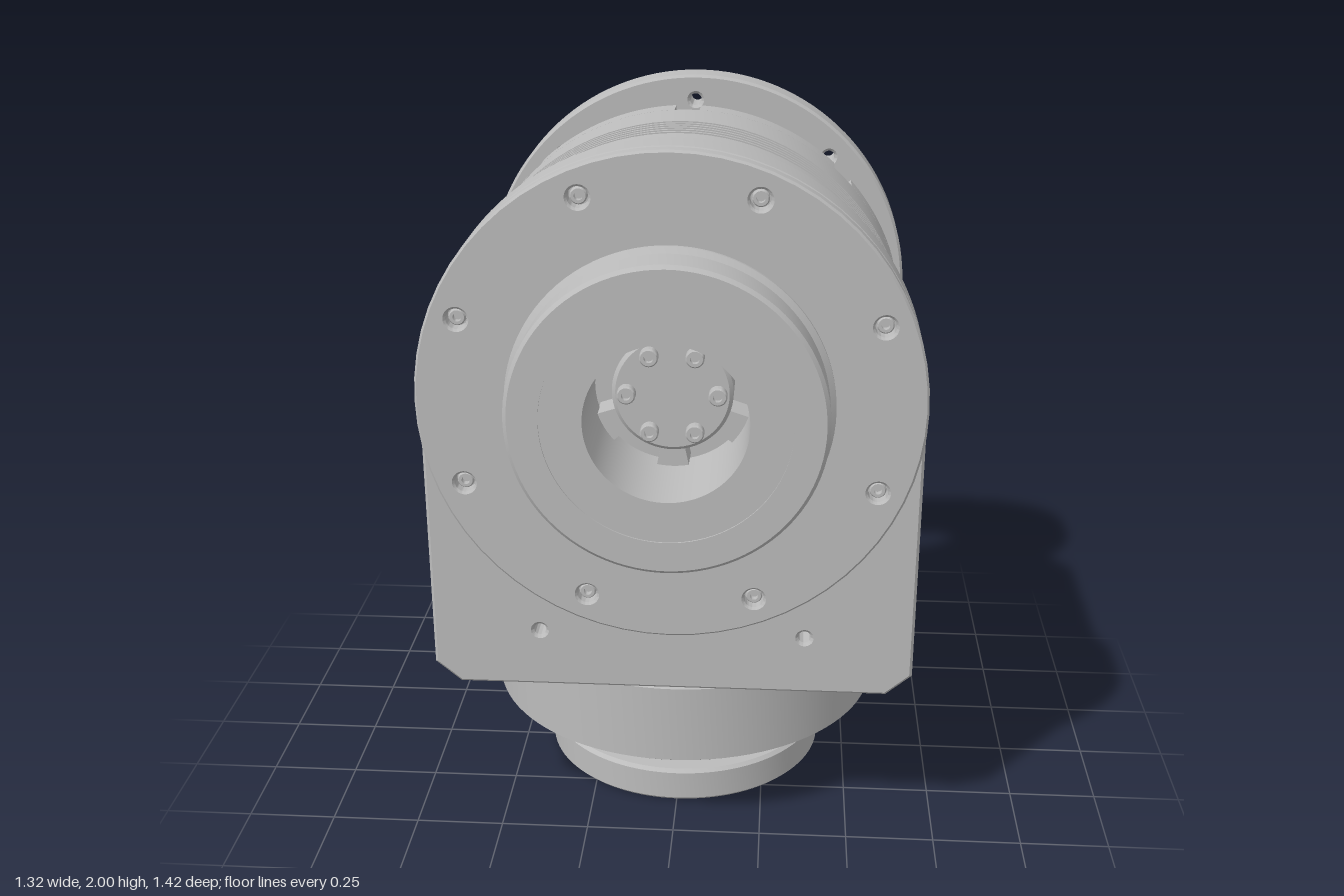
import * as THREE from 'three';
import { toCreasedNormals } from 'three/addons/utils/BufferGeometryUtils.js';

const AXIS_Y = 1.34;   // height of the tilt axis
const PAN_Z = -0.07;   // depth of the pan axis
const TAU = Math.PI * 2;

export function createModel() {
  const model = new THREE.Group();
  const metal = new THREE.MeshStandardMaterial({ color: 0xbcbcbc });
  metal.name = 'grey metal';

  const add = (name, geo, x = 0, y = 0, z = 0) => {
    const mesh = new THREE.Mesh(geo, metal);
    mesh.name = name;
    mesh.position.set(x, y, z);
    model.add(mesh);
    return mesh;
  };
  // Turned part about y, or about z when alongZ
  const turned = (pts, alongZ, segs = 96) => {
    const g = new THREE.LatheGeometry(pts.map(p => new THREE.Vector2(...p)), segs);
    if (alongZ) g.rotateX(Math.PI / 2);
    return toCreasedNormals(g, 0.5);
  };
  const hole = (shape, x, y, r) => {
    const p = new THREE.Path();
    p.absarc(x, y, r, 0, TAU, true);
    shape.holes.push(p);
  };
  const disc = r => new THREE.Shape().absarc(0, 0, r, 0, TAU, false);
  // Plate between two depths, with an optional small edge bevel
  const plate = (shape, a, b, bevel = 0) => {
    const g = new THREE.ExtrudeGeometry(shape, {
      depth: b - a - 2 * bevel, curveSegments: 32, bevelEnabled: bevel > 0,
      bevelThickness: bevel, bevelSize: bevel, bevelOffset: -bevel, bevelSegments: 1,
    });
    return toCreasedNormals(g.translate(0, 0, a + bevel), 0.5);
  };
  const around = (n, r, start, fn) => {
    for (let i = 0; i < n; i++) {
      const a = start + (i * TAU) / n;
      fn(r * Math.cos(a), r * Math.sin(a), a);
    }
  };
  // Socket-head screw, head facing +z from its seat
  const screw = (r, h) => turned([[r, 0], [r, h * 0.85], [r * 0.85, h], [r * 0.5, h], [r * 0.5, h * 0.4], [0, h * 0.4]], true, 18);
  const sector = (r0, r1, a0, a1) => {
    const s = new THREE.Shape();
    s.absarc(0, 0, r1, a0, a1, false);
    s.absarc(0, 0, r0, a1, a0, true);
    s.closePath();
    return s;
  };

  // ---- Yoke: two round-topped arms ----
  const armShape = bore => {
    const s = new THREE.Shape();
    s.moveTo(-0.59, 0.49);
    s.lineTo(0.59, 0.49);
    s.lineTo(0.66, 0.55);
    s.lineTo(0.66, AXIS_Y);
    s.absarc(0, AXIS_Y, 0.66, 0, Math.PI, false);
    s.lineTo(-0.66, 0.55);
    s.closePath();
    hole(s, 0, AXIS_Y, bore);
    for (const x of [-0.363, 0.363]) hole(s, x, 0.66, 0.017);
    return s;
  };
  add('frontArm', plate(armShape(0.36), 0.41, 0.53, 0.008));
  const back = armShape(0.29);
  around(8, 0.585, 0, (x, y) => hole(back, x, AXIS_Y + y, 0.018));
  add('backArm', plate(back, -0.675, -0.56, 0.008));

  // Yoke base: chamfered underside, floor and raised side rims
  const floorShape = () => {
    const s = new THREE.Shape();
    s.moveTo(-0.66, -0.415);
    s.lineTo(0.66, -0.415);
    s.lineTo(0.66, 0.565);
    s.lineTo(-0.66, 0.565);
    s.closePath();
    hole(s, 0, -PAN_Z, 0.23);
    for (const x of [-0.54, 0.54]) for (const v of [0.5, -0.36]) hole(s, x, v, 0.018);
    return s;
  };
  const under = plate(floorShape(), 0.49, 0.55);
  const p = under.attributes.position;
  for (let i = 0; i < p.count; i++)
    if (p.getZ(i) < 0.5 && Math.abs(p.getX(i)) > 0.65) p.setX(i, Math.sign(p.getX(i)) * 0.59);
  add('baseUnderside', toCreasedNormals(under.rotateX(-Math.PI / 2), 0.5));
  const floor = floorShape();
  around(8, 0.295, 0, (x, v) => hole(floor, x, v - PAN_Z, 0.05));
  add('baseFloor', plate(floor, 0.55, 0.64).rotateX(-Math.PI / 2));
  for (const s of [-1, 1])
    add('baseRim', new THREE.BoxGeometry(0.045, 0.06, 0.98), s * 0.6375, 0.67, -0.075);
  around(8, 0.295, 0, (x, v) =>
    add('baseScrew', screw(0.03, 0.06).rotateX(-Math.PI / 2), x, 0.55, PAN_Z - v));

  // ---- Pan drive below the yoke ----
  add('panDrive', turned([
    [0, 0.08], [0.09, 0.08], [0.09, 0.05], [0.395, 0.05], [0.395, 0.008], [0.405, 0],
    [0.41, 0], [0.42, 0.01], [0.42, 0.095], [0.41, 0.105], [0.215, 0.105], [0.215, 0.19],
    [0.33, 0.19], [0.33, 0.235], [0.565, 0.235], [0.58, 0.245], [0.58, 0.475],
    [0.57, 0.488], [0.23, 0.488], [0.23, 0.42], [0, 0.42]]), 0, 0, PAN_Z);
  const foot = disc(0.4);
  hole(foot, 0, 0, 0.17);
  for (let g = 0; g < 3; g++)
    for (const d of [-1, 0, 1]) {
      const a = Math.PI / 2 + (g * TAU) / 3 + (d * Math.PI) / 6;
      hole(foot, 0.27 * Math.cos(a), 0.27 * Math.sin(a), 0.022);
    }
  add('mountingFace', plate(foot, 0.012, 0.052).rotateX(-Math.PI / 2), 0, 0, PAN_Z);

  // ---- Motor drum with cooling fins ----
  const drum = [[0, -0.135], [0.63, -0.135], [0.63, 0.04]];
  for (let i = 0; i < 5; i++) {
    const z = 0.0585 + i * 0.0303;
    drum.push([0.575, i ? z - 0.0183 : 0.04], [0.575, z], [0.63, z], [0.63, z + 0.012], [0.575, z + 0.012]);
  }
  drum.push([0.575, 0.21], [0.63, 0.21], [0.63, 0.37], [0, 0.37]);
  add('motorDrum', turned(drum, true), 0, AXIS_Y, 0);

  // Notched end rings; the rear one is open at both sides
  const half = 0.056, open = 0.32;
  for (let i = 0; i < 8; i++) {
    const a = (i * Math.PI) / 4, b = a + Math.PI / 4;
    add('frontRing', plate(sector(0.57, 0.63, a + half, b - half), 0.37, 0.412), 0, AXIS_Y, 0);
    const a0 = a + (i % 4 === 0 ? open : half), b0 = b - (i % 4 === 3 ? open : half);
    add('rearRing', plate(sector(0.54, 0.63, a0, b0), -0.21, -0.135), 0, AXIS_Y, 0);
    const x = Math.cos(a), y = Math.sin(a);
    if (i % 4) add('notchScrew', screw(0.025, 0.03).rotateY(Math.PI), 0.575 * x, AXIS_Y + 0.575 * y, -0.135);
  }
  add('frontRingCore', plate(sector(0.3, 0.57, 0, TAU - 1e-4), 0.37, 0.412), 0, AXIS_Y, 0);
  for (const a of [0, Math.PI])
    add('rearRingCore', plate(sector(0.3, 0.54, a + open, a + Math.PI - open), -0.21, -0.135), 0, AXIS_Y, 0);
  const flange = disc(0.51);
  hole(flange, 0, 0, 0.3);
  around(8, 0.45, Math.PI / 8, (x, y) => hole(flange, x, y, 0.022));
  add('rearFlange', plate(flange, -0.235, -0.2), 0, AXIS_Y, 0);
  around(6, 0.22, 0, (x, y) =>
    add('rearScrew', screw(0.025, 0.025).rotateY(Math.PI), x, AXIS_Y + y, -0.135));

  // ---- Front cover, hub and the shaft inside it ----
  const cover = disc(0.66);
  hole(cover, 0, 0, 0.38);
  around(8, 0.585, Math.PI / 8, (x, y) => {
    hole(cover, x, y, 0.027);
    add('coverScrew', screw(0.022, 0.03), x, AXIS_Y + y, 0.53);
  });
  add('frontCover', plate(cover, 0.53, 0.578, 0.006), 0, AXIS_Y, 0);
  add('frontHub', turned([
    [0.21, 0.41], [0.35, 0.41], [0.35, 0.55], [0.425, 0.55], [0.425, 0.588], [0.41, 0.6],
    [0.41, 0.7], [0.4, 0.71], [0.32, 0.71], [0.32, 0.706], [0.21, 0.706], [0.21, 0.41]], true), 0, AXIS_Y, 0);
  add('shaftEnd', turned([[0.16, 0.37], [0.16, 0.465], [0.15, 0.475], [0, 0.475]], true, 64), 0, AXIS_Y, 0);
  around(6, 0.12, 0, (x, y, a) => {
    add('shaftScrew', screw(0.025, 0.025), x, AXIS_Y + y, 0.475);
    add('shaftRib', plate(sector(0.155, 0.212, a + 0.32, a + TAU / 6 - 0.32), 0.37, 0.46), 0, AXIS_Y, 0);
  });

  // ---- Back bearing ring ----
  const ring = disc(0.45);
  hole(ring, 0, 0, 0.29);
  around(8, 0.37, 0, (x, y) => {
    hole(ring, x, y, 0.042);
    add('bearingScrew', screw(0.03, 0.022).rotateY(Math.PI), x, AXIS_Y + y, -0.675);
  });
  add('bearingRing', plate(ring, -0.71, -0.67, 0.005), 0, AXIS_Y, 0);
  add('bearingLip', turned([
    [0.265, -0.64], [0.3, -0.64], [0.3, -0.58], [0.265, -0.58], [0.265, -0.64]], true), 0, AXIS_Y, 0);
  return model;
}
